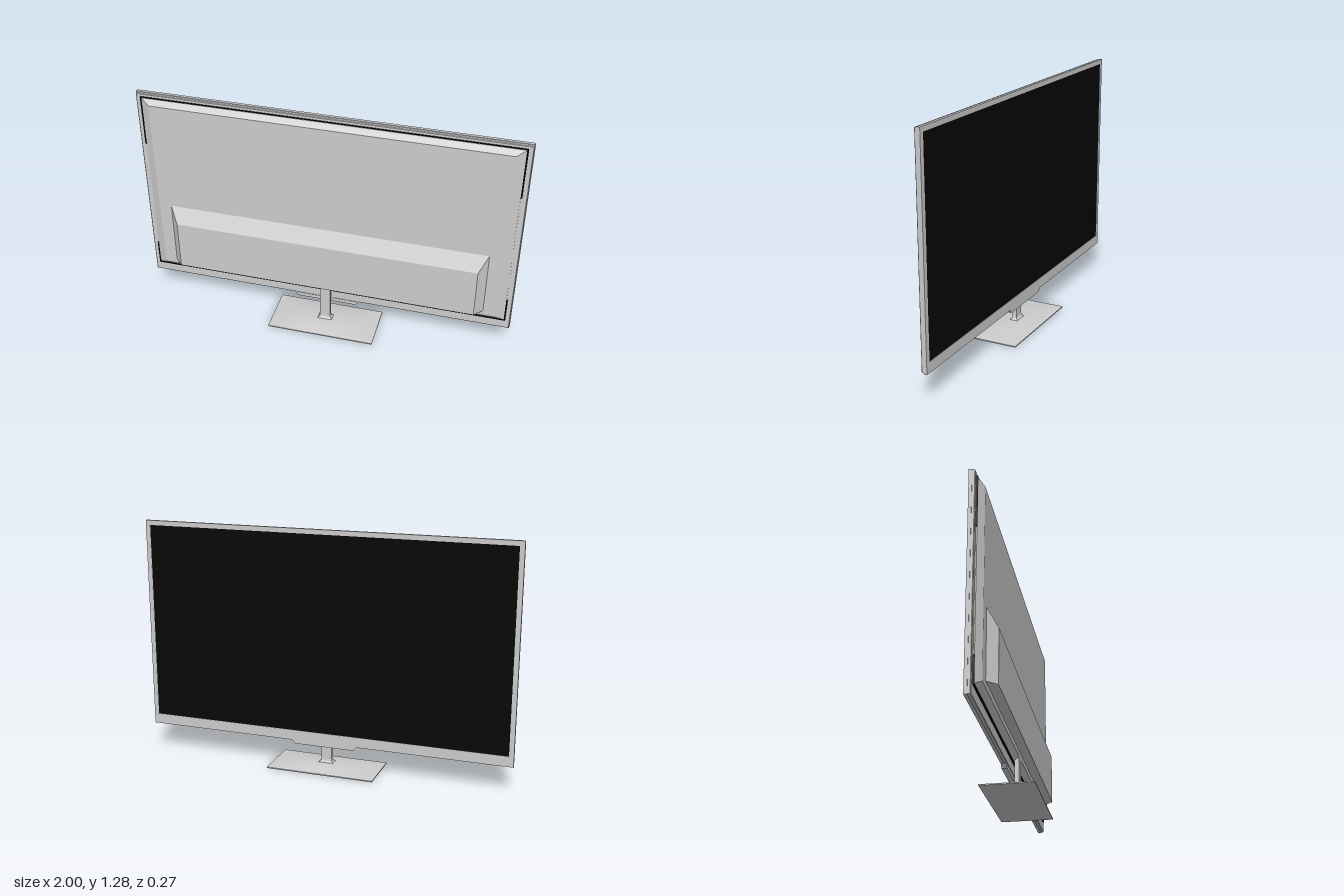
import * as THREE from 'three';

const grey = new THREE.MeshStandardMaterial({ color: 0xcccccc });
const black = new THREE.MeshStandardMaterial({ color: 0x060606 });

// Flat-shaded solid through rectangles [x0, x1, y0, y1, z], ordered by rising z
function loft(levels) {
  const rings = levels.map(([x0, x1, y0, y1, z]) => [[x0, y0, z], [x1, y0, z], [x1, y1, z], [x0, y1, z]]);
  const pos = [];
  const quad = (a, b, c, d) => pos.push(...a, ...b, ...c, ...a, ...c, ...d);
  for (let l = 0; l < rings.length - 1; l++) {
    for (let i = 0; i < 4; i++) {
      const j = (i + 1) % 4;
      quad(rings[l][i], rings[l][j], rings[l + 1][j], rings[l + 1][i]);
    }
  }
  const first = rings[0], last = rings[rings.length - 1];
  quad(first[3], first[2], first[1], first[0]);
  quad(...last);
  const geo = new THREE.BufferGeometry();
  geo.setAttribute('position', new THREE.Float32BufferAttribute(pos, 3));
  geo.computeVertexNormals();
  return geo;
}

function rectPath(path, x0, x1, y0, y1) {
  path.moveTo(x0, y0);
  path.lineTo(x1, y0);
  path.lineTo(x1, y1);
  path.lineTo(x0, y1);
  path.closePath();
  return path;
}

export function createModel() {
  const group = new THREE.Group();
  const add = (name, geo, mat = grey) => {
    const mesh = new THREE.Mesh(geo, mat);
    mesh.name = name;
    group.add(mesh);
    return mesh;
  };
  const box = (name, x0, x1, y0, y1, z0, z1, mat) =>
    add(name, new THREE.BoxGeometry(x1 - x0, y1 - y0, z1 - z0), mat)
      .position.set((x0 + x1) / 2, (y0 + y1) / 2, (z0 + z1) / 2);

  // Bezel around the screen, which faces -z
  const bezel = rectPath(new THREE.Shape(), -1, 1, 0.145, 1.28);
  bezel.holes.push(rectPath(new THREE.Path(), -0.975, 0.975, 0.2, 1.255));
  const bezelGeo = new THREE.ExtrudeGeometry(bezel, { depth: 0.016, bevelEnabled: false });
  add('bezel', bezelGeo.translate(0, 0, -0.05));
  box('screen', -0.976, 0.976, 0.199, 1.256, -0.048, -0.036, black);

  // Shell behind the bezel, stepped in slightly to leave a seam
  add('rearShell', loft([
    [-0.997, 0.997, 0.148, 1.277, -0.035],
    [-0.997, 0.997, 0.148, 1.277, -0.022],
    [-0.994, 0.994, 0.151, 1.274, -0.019],
  ]));

  // Raised back panel with sloping edges
  add('backPanel', loft([
    [-0.966, 0.966, 0.209, 1.256, -0.02],
    [-0.966, 0.966, 0.209, 1.256, -0.013],
    [-0.92, 0.92, 0.237, 1.23, 0.013],
  ]));

  // Electronics housing: sloped top and sides, flat underside
  add('electronicsHousing', loft([
    [-0.855, 0.855, 0.268, 0.63, 0.012],
    [-0.81, 0.81, 0.268, 0.545, 0.061],
  ]));

  // Dark vent slots round the back panel
  box('bottomVent', -0.973, 0.973, 0.202, 0.21, -0.02, -0.012, black);
  box('topVent', -0.973, 0.973, 1.255, 1.261, -0.02, -0.015, black);
  for (const s of [-1, 1]) {
    const x0 = s * 0.969 - 0.004, x1 = s * 0.969 + 0.004;
    box('upperSideVent', x0, x1, 0.985, 1.261, -0.02, -0.012, black);
    box('lowerSideVent', x0, x1, 0.202, 0.34, -0.02, -0.012, black);
  }

  // Tapered lip under the frame
  const lip = new THREE.Shape([
    [-0.18, 0.147], [-0.163, 0.125], [0.163, 0.125], [0.18, 0.147],
  ].map(([x, y]) => new THREE.Vector2(x, y)));
  add('bottomLip', new THREE.ExtrudeGeometry(lip, { depth: 0.028, bevelEnabled: false }).translate(0, 0, -0.049));

  // Stand post, flaring at its foot
  const post = [[0.046, 0.028, 0.02], [0.038, 0.02, 0.027], [0.031, 0.014, 0.034], [0.028, 0.0115, 0.045], [0.028, 0.0115, 0.242]]
    .map(([w, d, h]) => [-w, w, -d - 0.002, d - 0.002, h]);
  add('standPost', loft(post).rotateX(-Math.PI / 2));

  // Domed rectangular stand base
  const baseGeo = new THREE.BoxGeometry(0.585, 0.006, 0.27, 24, 1, 16).translate(0, 0.003, 0);
  const p = baseGeo.attributes.position;
  for (let i = 0; i < p.count; i++) {
    if (p.getY(i) < 0.003) continue;
    const u = p.getX(i) / 0.2925, v = p.getZ(i) / 0.135;
    p.setY(i, 0.006 + 0.02 * (1 - u * u) * (1 - v * v));
  }
  baseGeo.computeVertexNormals();
  add('standBase', baseGeo);

  return group;
}
